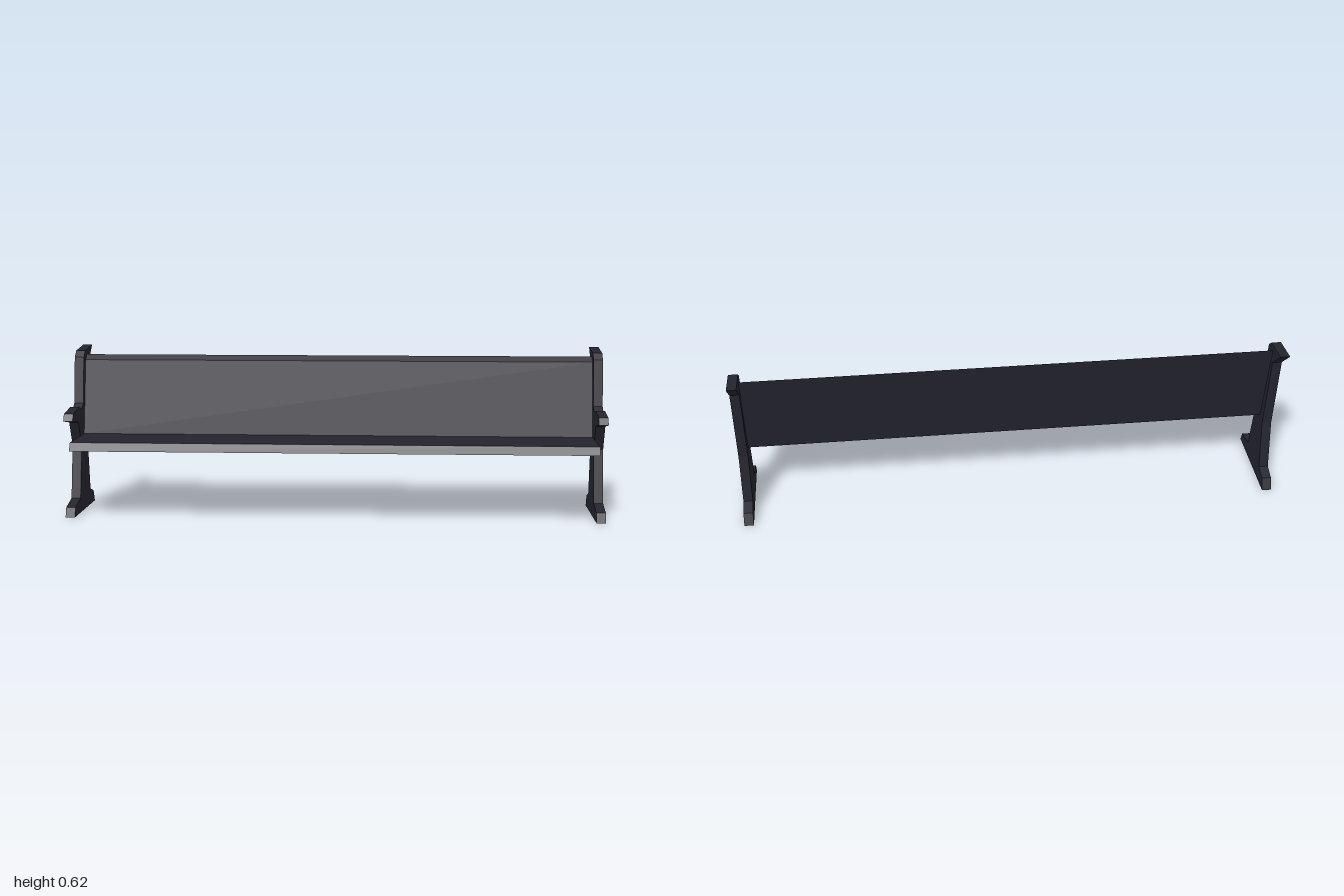
import * as THREE from 'three';

// Extrude a (z, y) side profile along x, from x0 to x1
function extrudeAlongX(profile, x0, x1) {
  const shape = new THREE.Shape(profile.map(([z, y]) => new THREE.Vector2(z, y)));
  const geometry = new THREE.ExtrudeGeometry(shape, { depth: x1 - x0, bevelEnabled: false });
  geometry.rotateY(-Math.PI / 2);
  geometry.translate(x1, 0, 0);
  return geometry;
}

export function createModel() {
  const group = new THREE.Group();
  group.name = 'bench';
  const paint = new THREE.MeshStandardMaterial({ color: 0x24242e });
  paint.name = 'dark paint';

  const add = (name, profile, x0, x1) => {
    const mesh = new THREE.Mesh(extrudeAlongX(profile, x0, x1), paint);
    mesh.name = name;
    group.add(mesh);
  };

  // End panel: foot, waist, armrest and backward-pointing top in one outline
  const endProfile = [
    [0.147, 0], [0.133, 0.035], [0.047, 0.054], [0.008, 0.252],
    [0.052, 0.345], [0.145, 0.361], [0.13, 0.387], [0.031, 0.4],
    [-0.012, 0.39], [-0.038, 0.407], [-0.064, 0.58], [-0.09, 0.603],
    [-0.211, 0.616], [-0.129, 0.541], [-0.096, 0.248], [-0.122, 0.06],
    [-0.174, 0.044], [-0.193, 0],
  ];
  const inner = 0.965;
  add('leftEndPanel', endProfile, inner, 1);
  add('rightEndPanel', endProfile, -1, -inner);

  // Seat board with a sloped front edge
  add('seat', [[0.213, 0.26], [0.195, 0.29], [-0.037, 0.29], [-0.058, 0.26]], -inner, inner);

  // Leaning backrest board with a sloped top edge
  add('backrest', [[-0.037, 0.29], [-0.095, 0.568], [-0.118, 0.587], [-0.058, 0.26]], -inner, inner);

  return group;
}
